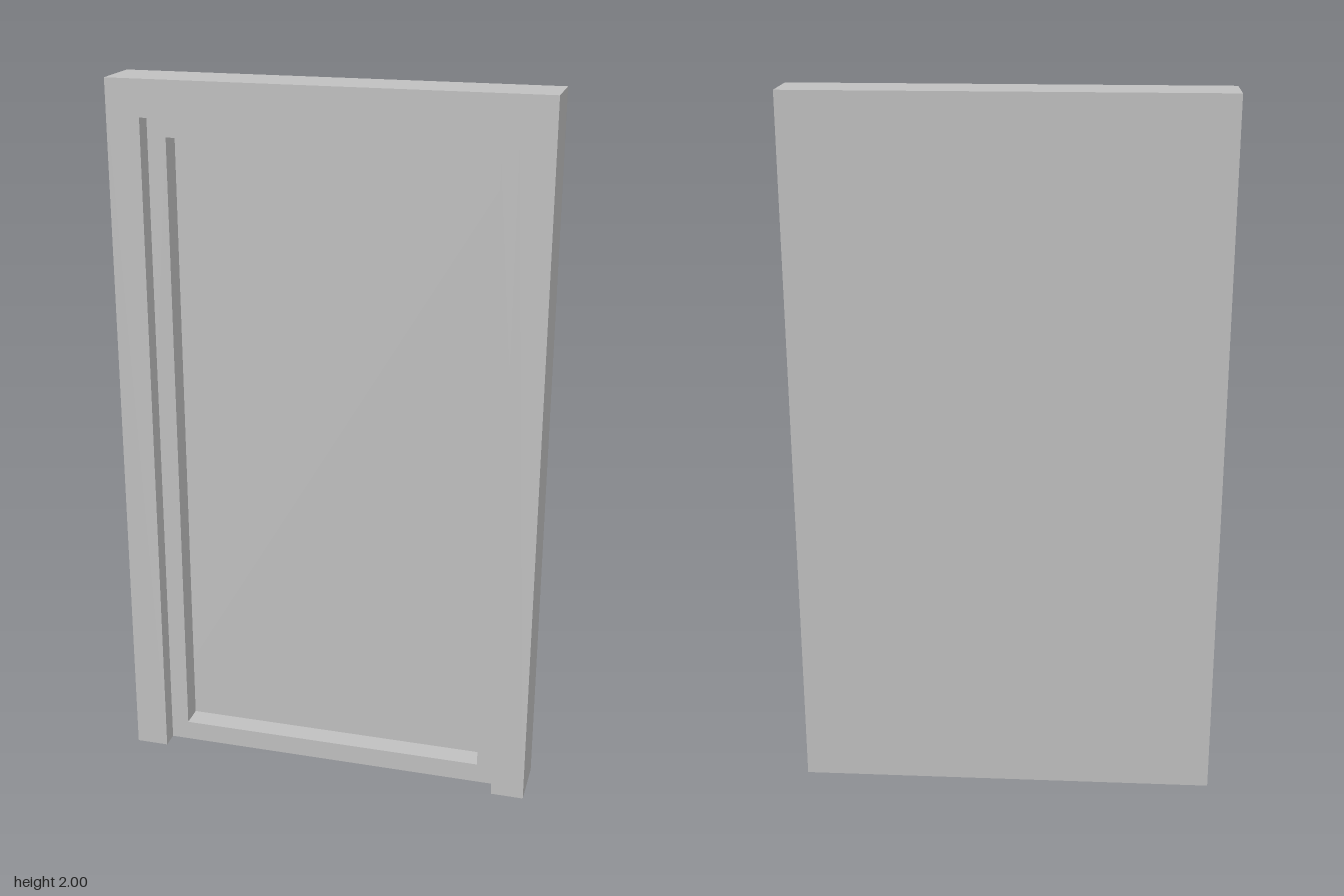
import * as THREE from 'three';

// Outer half width, height and half depth of the door set
const W = 0.593, H = 2, D = 0.078;
// Frame opening, and the sunk field of the door leaf
const OPEN_W = 0.5, OPEN_H = 1.9;
const FIELD_W = 0.448, FIELD_BOTTOM = 0.058, FIELD_TOP = 1.842;
// Depth (z) of the leaf face and of the sunk field
const LEAF_Z = D - 0.051, FIELD_Z = LEAF_Z - 0.066;

const outline = (pairs) => pairs.map(([x, y]) => new THREE.Vector2(x, y));
const rect = (w, y0, y1) => outline([[-w, y0], [w, y0], [w, y1], [-w, y1]]);

export function createModel() {
  const group = new THREE.Group();
  const grey = new THREE.MeshStandardMaterial({ color: 0xc0c0c0 });
  grey.name = 'plain grey';

  // Extrude a profile between two depths
  const slab = (name, points, z0, z1, hole) => {
    const shape = new THREE.Shape(points);
    if (hole) shape.holes.push(new THREE.Path(hole));
    const geometry = new THREE.ExtrudeGeometry(shape, { depth: z1 - z0, bevelEnabled: false });
    geometry.translate(0, 0, z0);
    const mesh = new THREE.Mesh(geometry, grey);
    mesh.name = name;
    group.add(mesh);
  };

  // Solid back, full width
  slab('backPanel', rect(W, 0, H), -D, FIELD_Z);

  // Door leaf border around the sunk field
  slab('leafBorder', rect(W, 0, H), FIELD_Z, LEAF_Z, rect(FIELD_W, FIELD_BOTTOM, FIELD_TOP));

  // Frame with two jambs and a head, open at the floor
  slab('doorFrame', outline([
    [-W, 0], [-OPEN_W, 0], [-OPEN_W, OPEN_H], [OPEN_W, OPEN_H],
    [OPEN_W, 0], [W, 0], [W, H], [-W, H],
  ]), LEAF_Z, D);

  return group;
}
